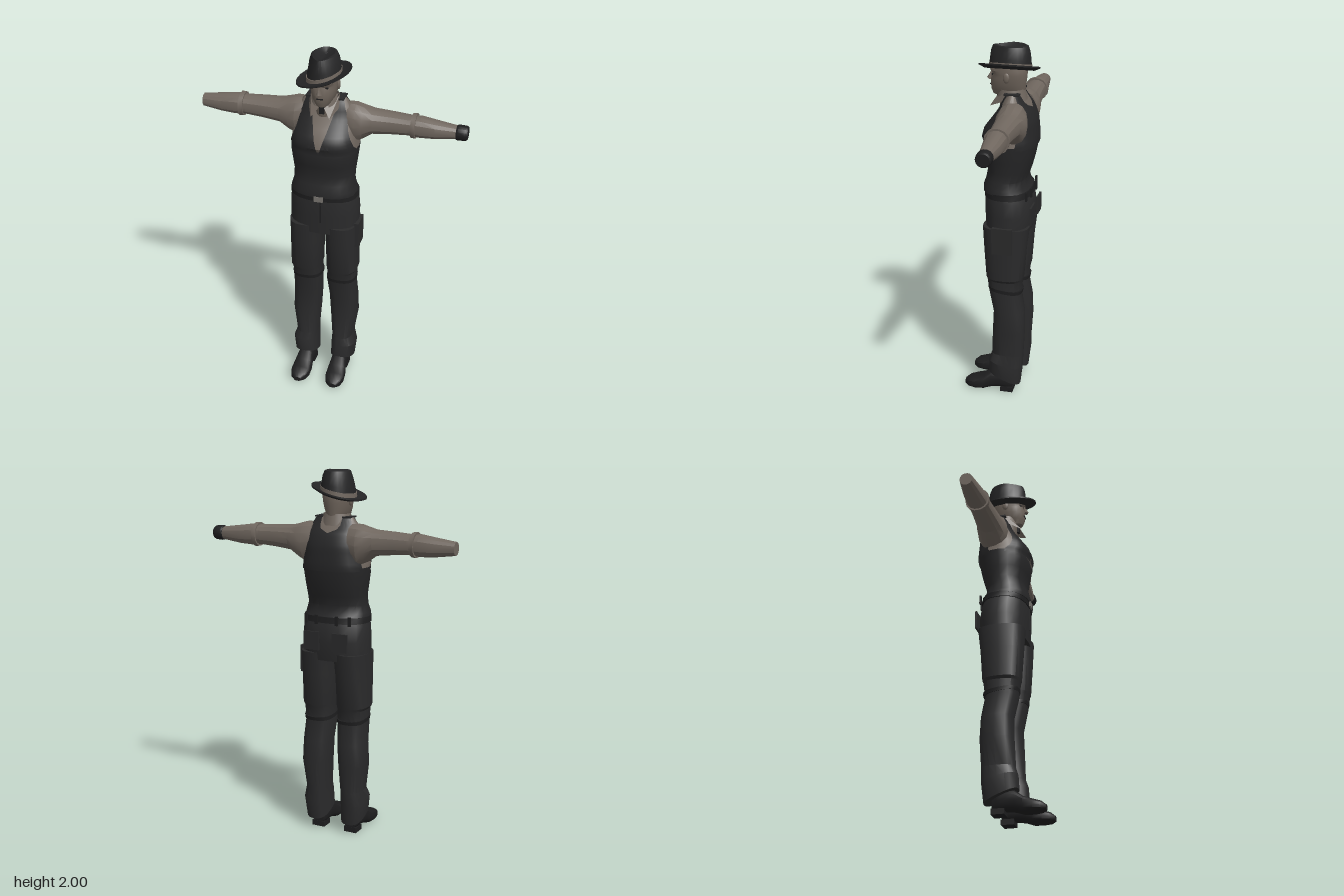
import * as THREE from 'three';
import { toCreasedNormals } from 'three/addons/utils/BufferGeometryUtils.js';

const mat = (name, color, side = THREE.FrontSide) => {
  const m = new THREE.MeshStandardMaterial({ color, side });
  m.name = name;
  return m;
};
const spow = (v, e) => Math.sign(v) * Math.abs(v) ** e;

// Interpolates rows whose first entry is the key
function sample(rows, key) {
  let i = 0;
  while (i < rows.length - 2 && key > rows[i + 1][0]) i++;
  const a = rows[i], b = rows[i + 1];
  const t = THREE.MathUtils.clamp((key - a[0]) / (b[0] - a[0]), 0, 1);
  return a.map((v, k) => v + (b[k] - v) * t);
}

// Superellipse outline as [u, v] pairs
function outline(hu, hv, p = 2.4, n = 20) {
  return Array.from({ length: n }, (_, i) => {
    const a = (i / n) * Math.PI * 2;
    return [hu * spow(Math.cos(a), 2 / p), hv * spow(Math.sin(a), 2 / p)];
  });
}

// Horizontal ring between x0..x1 and zB..zF, optionally tilted along z
function ringY(y, x0, x1, zF, zB, p, tilt = 0) {
  return outline((x1 - x0) / 2, (zF - zB) / 2, p)
    .map(([u, v]) => [(x0 + x1) / 2 + u, y + tilt * v, (zF + zB) / 2 + v]);
}

// Skins closed rings, caps the ends and turns all faces outward
function loft(rings, crease = 0.55, closed = false) {
  const n = rings[0].length, pos = rings.flat(2), idx = [];
  const last = closed ? rings.length : rings.length - 1;
  for (let r = 0; r < last; r++) {
    const s = (r + 1) % rings.length;
    for (let i = 0; i < n; i++) {
      const j = (i + 1) % n, a = r * n + i, b = r * n + j, c = s * n + i, d = s * n + j;
      idx.push(a, c, b, b, c, d);
    }
  }
  if (!closed) [0, rings.length - 1].forEach((r, k) => {
    const c = pos.length / 3;
    for (let q = 0; q < 3; q++) pos.push(rings[r].reduce((s, v) => s + v[q], 0) / n);
    for (let i = 0; i < n; i++) {
      const a = r * n + i, b = r * n + (i + 1) % n;
      idx.push(c, ...(k ? [b, a] : [a, b]));
    }
  });
  let vol = 0;
  const P = (i) => new THREE.Vector3().fromArray(pos, i * 3);
  for (let i = 0; i < idx.length; i += 3) vol += P(idx[i]).dot(P(idx[i + 1]).cross(P(idx[i + 2])));
  if (vol < 0) idx.reverse();
  const g = new THREE.BufferGeometry();
  g.setAttribute('position', new THREE.Float32BufferAttribute(pos, 3));
  g.setIndex(idx);
  return toCreasedNormals(g, crease);
}

// Torso rows: y, half width, front z, back z
const TORSO = [
  [1.225, .182, .095, -.165], [1.25, .178, .094, -.15], [1.29, .166, .08, -.142],
  [1.34, .166, .07, -.158], [1.4, .174, .082, -.174], [1.46, .181, .092, -.186],
  [1.495, .182, .086, -.19], [1.515, .18, .097, -.19], [1.56, .172, .085, -.187], [1.61, .163, .048, -.182],
  [1.67, .15, .006, -.16], [1.72, .132, -.015, -.12], [1.755, .105, -.035, -.1]];
const LEG = [ // y, inner x, outer x, front z, back z, tilt
  [1.03, .004, .19, .083, -.172, 0], [.9, .012, .19, .075, -.156, 0], [.73, .016, .19, .063, -.143, 0],
  [.715, .02, .181, .058, -.138, 0], [.64, .018, .178, .048, -.128, 0], [.52, .026, .183, .022, -.148, 0],
  [.4, .034, .188, .026, -.152, 0], [.25, .046, .165, .034, -.145, 0], [.19, .044, .183, .048, -.142, .2],
  [.095, .042, .172, .052, -.13, .4]];
const ARM = [ // x, centre y, half height, half depth
  [.11, 1.63, .095, .075], [.16, 1.618, .108, .086], [.2, 1.622, .092, .08], [.25, 1.633, .068, .07],
  [.35, 1.636, .06, .062], [.44, 1.636, .054, .056], [.5, 1.634, .058, .057], [.58, 1.63, .05, .05], [.69, 1.63, .035, .035]];
const SHOE = [ // z, half width, top, bottom
  [-.085, .03, .09, .02], [-.06, .042, .12, .018], [-.01, .045, .13, .02], [.035, .046, .122, .014],
  [.08, .054, .088, 0], [.13, .056, .07, 0], [.17, .044, .058, .003], [.193, .02, .04, .012]];
const HEAD = [ // y, half width, front z, back z
  [1.66, .052, .01, -.115], [1.735, .05, .025, -.118], [1.738, .04, .05, -.118], [1.765, .055, .06, -.121],
  [1.8, .066, .064, -.126], [1.83, .072, .06, -.13], [1.85, .074, .054, -.131], [1.87, .076, .066, -.131], [1.91, .07, .055, -.12]];

// Cloth panel lying just off the torso; edge rows: y, inner x, outer x
function torsoPanel(edges, front, side) {
  const cols = 8, rows = 14, pos = [], idx = [];
  for (let r = 0; r <= rows; r++) {
    const y = edges[0][0] + (edges[edges.length - 1][0] - edges[0][0]) * r / rows;
    const [, inner, outer] = sample(edges, y), [, w, zF, zB] = sample(TORSO, y);
    for (let c = 0; c <= cols; c++) {
      const x = Math.min(inner + (outer - inner) * c / cols, w * .99);
      const d = (zF - zB) / 2 * (1 - (x / w) ** 2.4) ** (1 / 2.4) + .007;
      pos.push(x * side, y, (zF + zB) / 2 + d * front);
      if (r < rows && c < cols) {
        const a = r * (cols + 1) + c, b = a + cols + 1;
        idx.push(...(front * side > 0 ? [a, a + 1, b, b, a + 1, b + 1] : [a, b, a + 1, b, b + 1, a + 1]));
      }
    }
  }
  const g = new THREE.BufferGeometry();
  g.setAttribute('position', new THREE.Float32BufferAttribute(pos, 3));
  g.setIndex(idx);
  return toCreasedNormals(g, .6);
}

export function createModel() {
  const root = new THREE.Group(), body = new THREE.Group();
  body.name = 'figure';
  body.position.x = -.03;
  root.add(body);
  const M = {
    shirt: mat('shirt taupe', 0x70675f), skin: mat('skin', 0x6e645b),
    vest: mat('vest black', 0x262627, THREE.DoubleSide), trousers: mat('trousers charcoal', 0x2a2a2b),
    hat: mat('hat black', 0x242425), dark: mat('leather black', 0x1e1e1f),
    metal: mat('buckle grey', 0x77736e), collar: mat('collar taupe', 0x70675f, THREE.DoubleSide),
  };
  const add = (name, geo, m, x = 0, y = 0, z = 0) => {
    const o = new THREE.Mesh(geo, m);
    o.name = name;
    o.position.set(x, y, z);
    body.add(o);
    return o;
  };
  const box = (name, w, h, d, m, x, y, z) => add(name, new THREE.BoxGeometry(w, h, d), m, x, y, z);
  const torsoRing = ([y, w, f, b]) => ringY(y, -w, w, f, b);

  // Torso: vest below, shirt above, vest panels over the shirt
  add('vestBody', loft(TORSO.filter(r => r[0] < 1.5).map(torsoRing)), M.vest);
  add('shirtBody', loft(TORSO.filter(r => r[0] > 1.49).map(torsoRing)), M.shirt);
  const frontEdges = [[1.48, 0, .18], [1.5, .006, .178], [1.6, .036, .14], [1.67, .055, .125], [1.755, .07, .1]];
  const backEdges = [[1.48, 0, .18], [1.6, 0, .155], [1.68, 0, .14], [1.7, .058, .125], [1.755, .06, .1]];

  // Hips, belt and buckle
  add('hips', loft([[.99, .189, .08, -.165], [1.1, .19, .085, -.183], [1.18, .185, .086, -.172], [1.24, .17, .08, -.15]].map(torsoRing)), M.trousers);
  add('belt', loft([[1.198, .187, .089, -.173], [1.23, .184, .09, -.168]].map(torsoRing)), M.dark);
  box('buckle', .05, .03, .009, M.metal, 0, 1.215, .094);
  box('flySeam', .006, .13, .006, M.dark, .008, 1.13, .086);
  box('cargoPocket', .025, .15, .11, M.trousers, .19, .97, -.04);

  for (const s of [-1, 1]) {
    const side = s > 0 ? 'left' : 'right';
    add(side + 'VestFront', torsoPanel(frontEdges, 1, s), M.vest);
    add(side + 'VestBack', torsoPanel(backEdges, -1, s), M.vest);
    box(side + 'VestStrap', .042, .008, .08, M.vest, s * .081, 1.756, -.067);
    box(side + 'BackPocket', .09, .1, .01, M.trousers, s * .085, 1.1, -.183);
    for (const x of [.06, .13]) box(side + 'BeltLoop', .016, .05, .01, M.dark, s * x, 1.215, x < .1 ? -.172 : -.158);

    // Legs with knee strap and shoe
    const legRing = ([y, a, b, f, k, t]) => ringY(y, s > 0 ? a : -b, s > 0 ? b : -a, f, k, 2.6, t);
    add(side + 'Leg', loft(LEG.map(legRing), .45), M.trousers);
    add(side + 'KneeStrap', loft([.648, .668].map((y) => {
      const [, a, b, f, k] = sample([...LEG].reverse(), y);
      return legRing([y, a - .003, b + .003, f + .003, k - .008, .12]);
    })), M.dark);
    add(side + 'Shoe', loft(SHOE.map(([z, w, top, bot]) =>
      outline(w, (top - bot) / 2, 2.8, 16).map(([u, v]) => [s * (.1 + z * .03) + u, (top + bot) / 2 + v, z]))), M.dark);
    box(side + 'Heel', .075, .03, .07, M.dark, s * .1, .015, -.053);

    // Arms with elbow band
    const armRing = ([x, y, h, d]) => outline(d, h, 2.1, 14).map(([u, v]) => [s * x, y + v, -.083 + u]);
    add(side + 'Sleeve', loft(ARM.map(armRing), .45), M.shirt);
    add(side + 'ElbowBand', loft([[.454, 1.636, .064, .064], [.478, 1.635, .066, .066]].map(armRing)), M.shirt);
    if (s > 0) {
      add('gloveCuff', loft([[.686, 1.63, .037, .038], [.695, 1.63, .041, .042], [.735, 1.63, .039, .04], [.745, 1.63, .033, .034]].map(armRing)), M.dark);
    }

    // Ears and face details
    const ear = add(side + 'Ear', new THREE.SphereGeometry(.022, 8, 6), M.skin, s * .074, 1.838, -.035);
    ear.scale.set(.4, 1.25, .8);
    box(side + 'Eye', .022, .007, .008, M.dark, s * .03, 1.847, .046);

    // Collar wing, folded forward to a point
    const wing = new THREE.BufferGeometry();
    wing.setAttribute('position', new THREE.Float32BufferAttribute([
      s * .014, 1.725, .03, s * .075, 1.77, -.035, s * .05, 1.68, .058,
      s * .075, 1.77, -.035, s * .088, 1.72, -.03, s * .05, 1.68, .058], 3));
    wing.computeVertexNormals();
    add(side + 'CollarWing', wing, M.collar);
  }

  // Neck, head and nose
  add('head', loft(HEAD.map(([y, w, f, b]) => ringY(y, -w, w, f, b, 2.2)), .5), M.skin);
  const nose = add('nose', new THREE.ConeGeometry(.016, .05, 4), M.skin, 0, 1.838, .064);
  nose.rotation.x = -.25;
  box('mouth', .034, .005, .006, M.dark, 0, 1.788, .062);
  box('neckTie', .026, .05, .012, M.dark, 0, 1.715, .024);

  // Standing collar, open at the front
  const collar = add('collarBand', new THREE.CylinderGeometry(.072, .085, .06, 18, 1, true, .45, Math.PI * 2 - .9), M.collar, 0, 1.742, -.05);
  collar.scale.z = .95;

  // Hat: every ring leans sideways; the crown narrows to the front and is dented on top
  const hatRing = (rx, rz, y, lean, pinch = 0, cz = -.035, dent = 0) => outline(rx, rz, 2, 24).map(([u, v]) => {
    const x = u * (1 - pinch * Math.max(0, v / rz));
    return [x - .005, y + lean * u - dent * Math.max(0, v / rz), cz + v];
  });
  add('hatBrim', loft([
    hatRing(.07, .09, 1.868, .28), hatRing(.11, .13, 1.866, .28), hatRing(.142, .162, 1.881, .28),
    hatRing(.142, .162, 1.889, .28), hatRing(.11, .13, 1.878, .28), hatRing(.07, .09, 1.88, .28)], .6, true), M.hat);
  add('hatCrown', loft([
    hatRing(.09, .112, 1.87, .28, 0, -.04), hatRing(.086, .11, 1.92, .18, .1, -.04), hatRing(.078, .104, 1.965, .08, .3, -.04),
    hatRing(.068, .094, 1.993, .03, .4, -.04), hatRing(.054, .08, 1.999, 0, .45, -.042, .006),
    hatRing(.03, .06, 1.985, 0, .5, -.045, .006), hatRing(.006, .045, 1.975, 0, 0, -.045)], .6), M.hat);
  add('hatBand', loft([
    hatRing(.0925, .115, 1.876, .28, 0, -.04), hatRing(.0915, .115, 1.898, .25, .03, -.04)]), M.shirt);
  return root;
}
